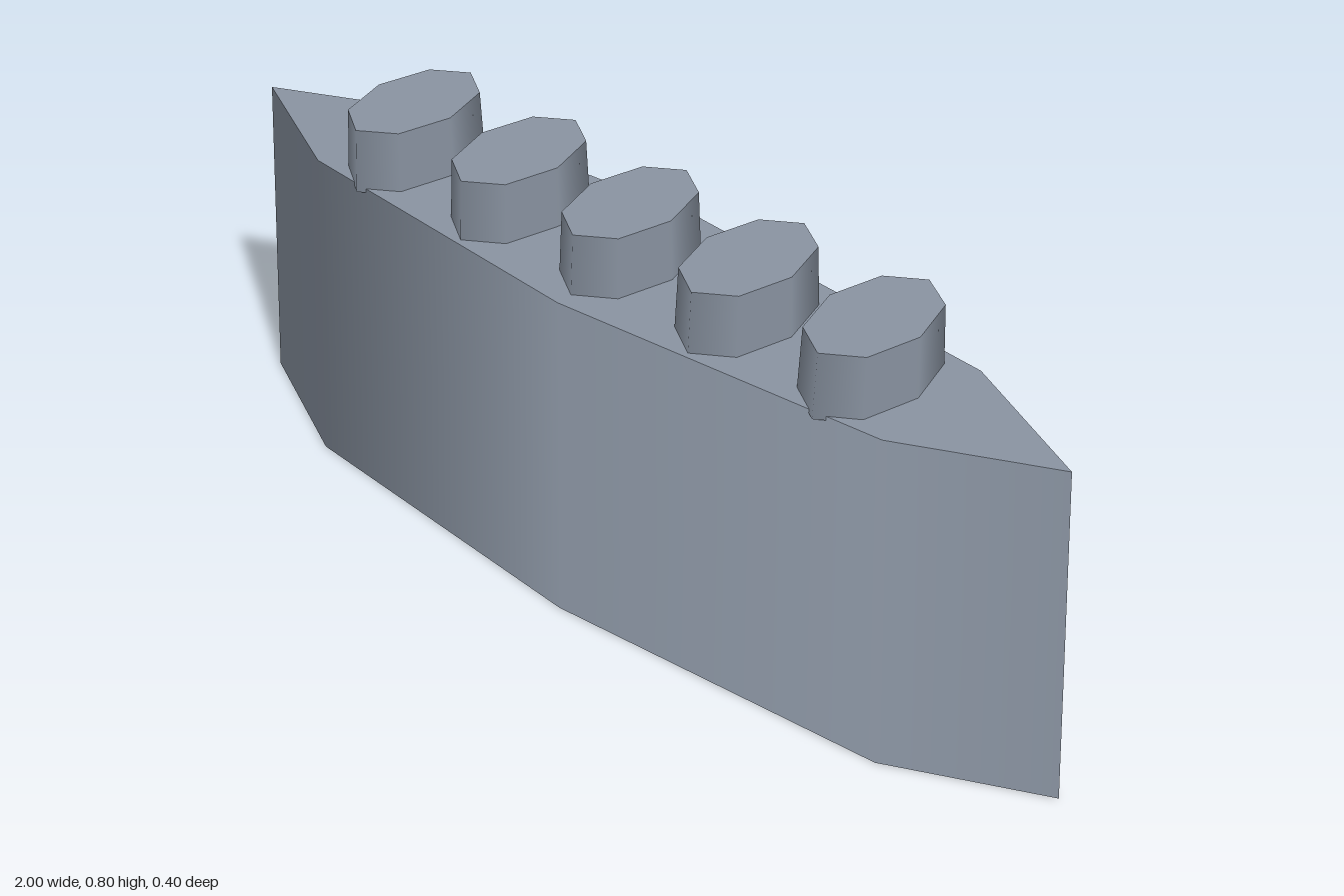
import * as THREE from 'three';

const SIDES = 8;

// Tapered eight-sided drum, flattened along z, standing on y = 0.
// The smooth normals are squashed together with the shape, so the shading wraps round the ends.
function ovalDrum(topRadius, bottomRadius, height, depthScale) {
  const geometry = new THREE.CylinderGeometry(topRadius, bottomRadius, height, SIDES);
  const normals = geometry.attributes.normal.clone();
  geometry.scale(1, 1, depthScale);
  geometry.translate(0, height / 2, 0);
  for (let i = 0; i < normals.count; i++) {
    const n = new THREE.Vector3().fromBufferAttribute(normals, i);
    n.z *= depthScale;
    n.normalize();
    normals.setXYZ(i, n.x, n.y, n.z);
  }
  geometry.setAttribute('normal', normals);
  return geometry;
}

export function createModel() {
  const model = new THREE.Group();
  model.name = 'studdedBlock';

  const slate = new THREE.MeshStandardMaterial({ color: 0x8a94a2 });
  slate.name = 'slateGrey';

  // Long pointed body
  const body = new THREE.Mesh(ovalDrum(0.955, 1, 0.68, 0.2), slate);
  body.name = 'body';
  model.add(body);

  // Row of five studs, sunk slightly into the top
  const studs = new THREE.Group();
  studs.name = 'studs';
  const studGeometry = ovalDrum(0.0955, 0.1, 0.13, 1.57);
  for (let i = -2; i <= 2; i++) {
    const stud = new THREE.Mesh(studGeometry, slate);
    stud.name = 'stud' + (i + 3);
    stud.position.set(i * 0.273, 0.672, 0);
    stud.scale.y = 0.128 / 0.13;
    studs.add(stud);
  }
  model.add(studs);

  return model;
}
